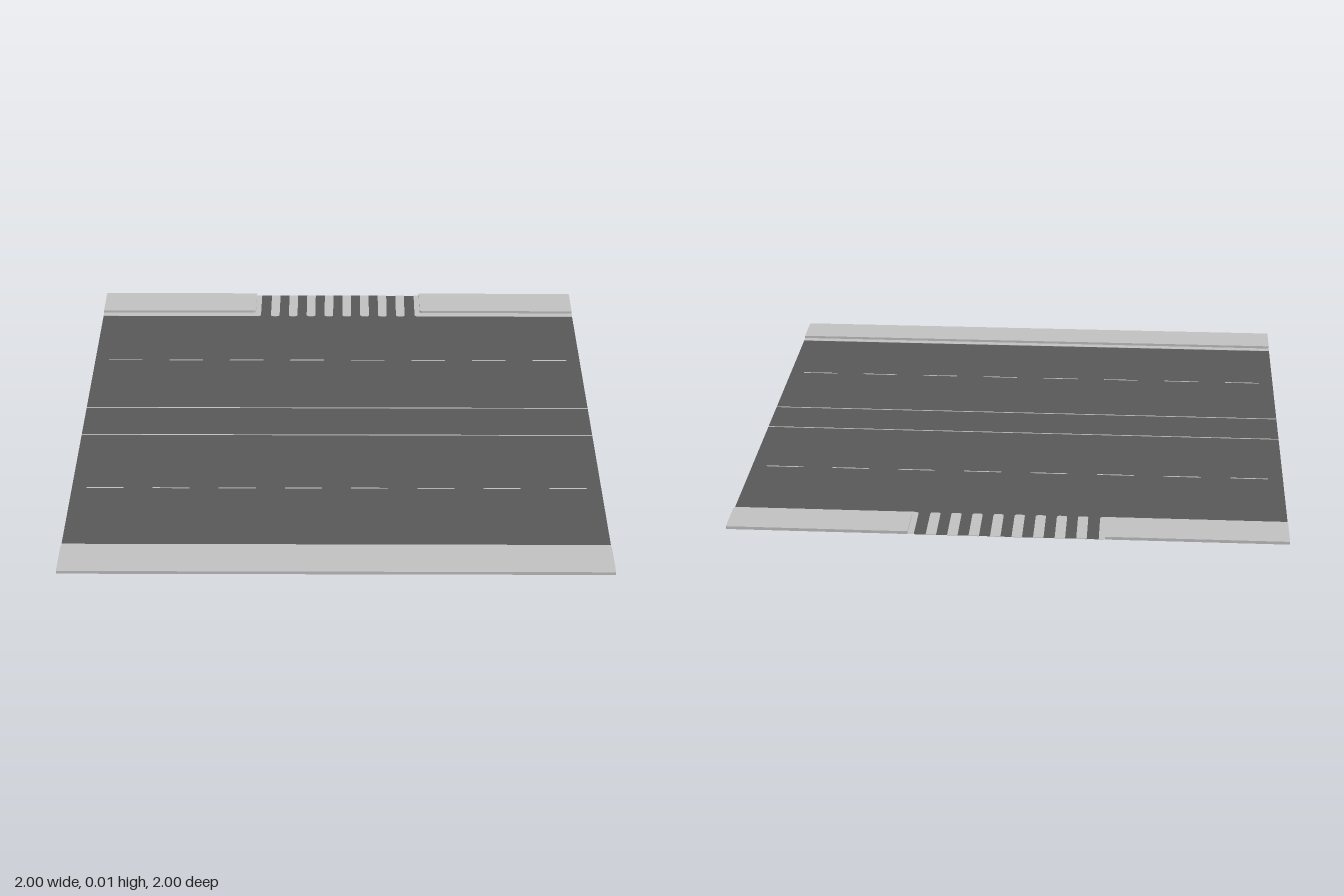
import * as THREE from 'three';

export function createModel() {
  const group = new THREE.Group();
  const asphalt = new THREE.MeshStandardMaterial({ color: 0x585858 });
  asphalt.name = 'asphalt';
  asphalt.side = THREE.DoubleSide;
  const concrete = new THREE.MeshStandardMaterial({ color: 0xc0c0c0 });
  concrete.name = 'paleConcrete';

  const ROAD_Y = 0.001, CURB_Y = 0.012, PAINT_Y = 0.002;

  function add(name, geometry, material) {
    const mesh = new THREE.Mesh(geometry, material);
    mesh.name = name;
    group.add(mesh);
    return mesh;
  }

  // Flat slab from an outline drawn in x / -z, from y0 up to y1
  function slab(name, shape, y0, y1) {
    const geometry = new THREE.ExtrudeGeometry(shape, {
      depth: y1 - y0, bevelEnabled: false, curveSegments: 6,
    });
    geometry.rotateX(-Math.PI / 2).translate(0, y0, 0);
    return add(name, geometry, concrete);
  }

  // Rectangle in x and z, shape y being -z
  function rect(x0, x1, z0, z1) {
    return new THREE.Shape([
      new THREE.Vector2(x0, -z1), new THREE.Vector2(x1, -z1),
      new THREE.Vector2(x1, -z0), new THREE.Vector2(x0, -z0),
    ]);
  }

  // Rear pavement outline with its inner front corner rounded
  function rearOutline(side, inner, z, r) {
    const s = new THREE.Shape();
    s.moveTo(side, 1);
    s.lineTo(side, -z);
    s.lineTo(side * (inner + r), -z);
    s.quadraticCurveTo(side * inner, -z, side * inner, -z + r);
    s.lineTo(side * inner, 1);
    s.closePath();
    return s;
  }

  // Road surface, reaching under the rear pavement
  const road = new THREE.PlaneGeometry(2, 1.85);
  road.rotateX(-Math.PI / 2).translate(0, ROAD_Y, -0.075);
  add('road', road, asphalt);

  // Front pavement and its gutter
  slab('frontPavement', rect(-1, 1, 0.85, 1), 0, CURB_Y);
  slab('frontGutter', rect(-1, 1, 0.822, 0.85), ROAD_Y, PAINT_Y);

  // Rear pavements either side of the crossing, with gutters round the corners
  for (const side of [-1, 1]) {
    slab('rearPavement', rearOutline(side, 0.35, -0.85, 0.012), ROAD_Y, CURB_Y);
    slab('rearGutter', rearOutline(side, 0.328, -0.822, 0.015), ROAD_Y, PAINT_Y);
  }

  // Crossing stripes with rounded front ends, visible from both faces
  for (let i = 0; i < 8; i++) {
    const x = (i - 3.5) * 0.0763, w = 0.0185, r = 0.012, front = 0.822;
    const s = new THREE.Shape();
    s.moveTo(x - w, 1);
    s.lineTo(x - w, front + r);
    s.quadraticCurveTo(x - w, front, x - w + r, front);
    s.lineTo(x + w - r, front);
    s.quadraticCurveTo(x + w, front, x + w, front + r);
    s.lineTo(x + w, 1);
    s.closePath();
    slab('crossingStripe', s, 0, PAINT_Y);
  }

  // Lane markings: solid centre pair and dashed dividers
  for (const side of [-1, 1]) {
    const c = side * 0.098, d = side * 0.463, h = 0.0025;
    slab('centreLine', rect(-1, 1, c - h, c + h), ROAD_Y, PAINT_Y);
    for (let i = 0; i < 8; i++) {
      const x = (i - 3.5) * 0.25;
      slab('laneDash', rect(x - 0.07, x + 0.07, d - h, d + h), ROAD_Y, PAINT_Y);
    }
  }
  return group;
}
